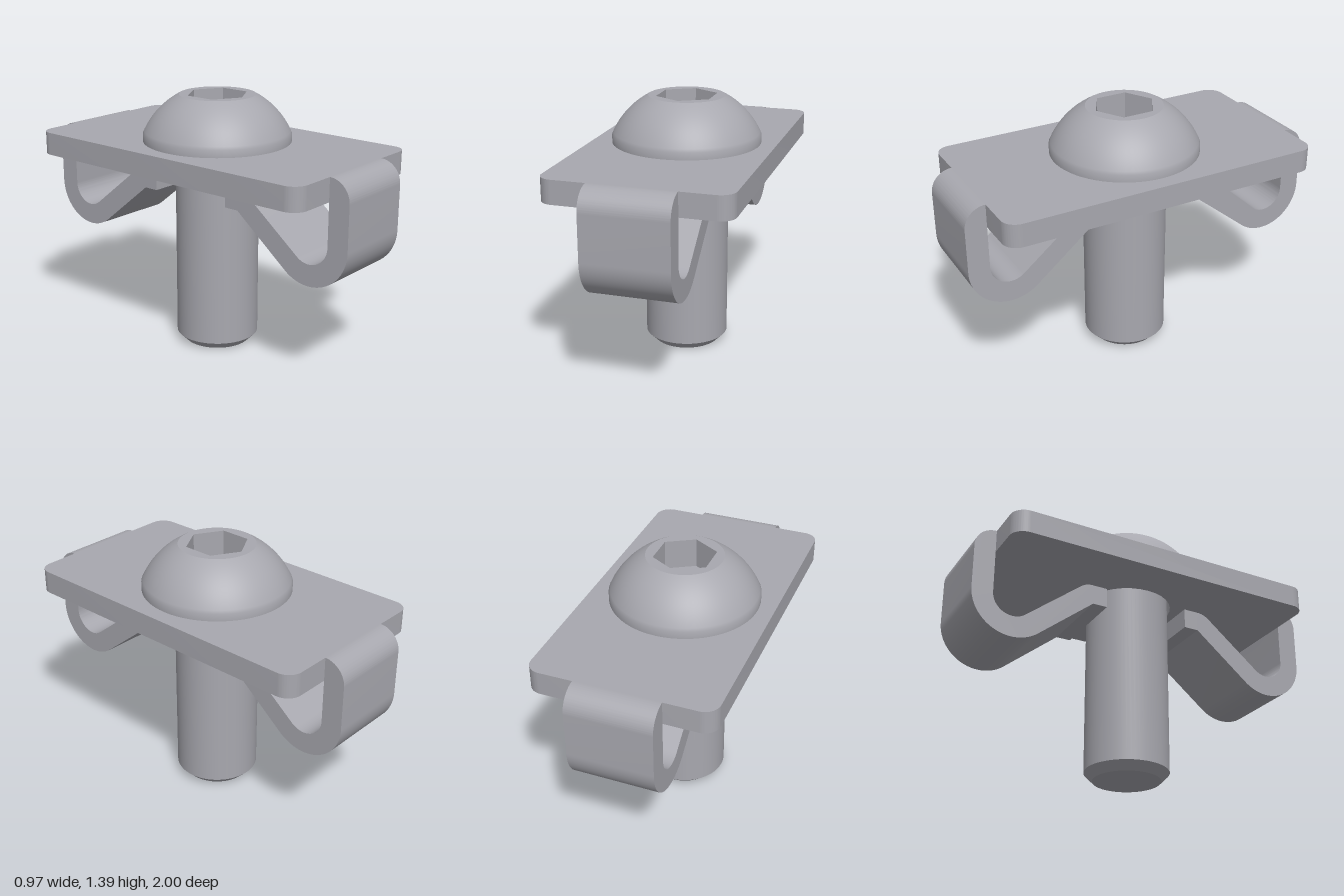
import * as THREE from 'three';
import { toCreasedNormals } from 'three/addons/utils/BufferGeometryUtils.js';

const steel = new THREE.MeshStandardMaterial({ color: 0xa8a8af, side: THREE.DoubleSide });
steel.name = 'steel grey';

function part(name, geometry, parent) {
  const mesh = new THREE.Mesh(geometry, steel);
  mesh.name = name;
  parent.add(mesh);
  return mesh;
}

const crease = (g) => toCreasedNormals(g, Math.PI / 6);
const v = (x, y) => new THREE.Vector2(x, y);

// Rounded rectangle with a clearance hole, lying flat
function plateGeometry(hx, hz, r, bottom, top) {
  const s = new THREE.Shape();
  s.absarc(hx - r, hz - r, r, 0, Math.PI / 2);
  s.absarc(-hx + r, hz - r, r, Math.PI / 2, Math.PI);
  s.absarc(-hx + r, -hz + r, r, Math.PI, Math.PI * 1.5);
  s.absarc(hx - r, -hz + r, r, Math.PI * 1.5, Math.PI * 2);
  s.closePath();
  s.holes.push(new THREE.Path().absarc(0, 0, 0.245, 0, Math.PI * 2, true));
  const g = new THREE.ExtrudeGeometry(s, { depth: top - bottom, bevelEnabled: false, curveSegments: 16 });
  g.rotateX(-Math.PI / 2).translate(0, bottom, 0);
  return crease(g);
}

// Bent strip: profile drawn in (z, y), extruded across x
function clipGeometry(halfWidth) {
  const cz = 0.775, cy = 0.79, outer = 0.225, inner = 0.11;
  const end = -Math.PI + THREE.MathUtils.degToRad(51); // where the hook leaves the round bend
  const s = new THREE.Shape();
  s.moveTo(0.885, 1.145);
  s.absarc(0.885, 1.03, 0.115, Math.PI / 2, 0, true);
  s.absarc(cz, cy, outer, 0, end, true);
  s.lineTo(0.325, 0.865);
  s.lineTo(0.243, 0.865);
  s.lineTo(0.243, 0.975);
  s.absarc(0.329, 0.865, 0.11, Math.PI / 2, end + Math.PI, true);
  s.absarc(cz, cy, inner, end, 0, false);
  s.closePath();
  const g = new THREE.ExtrudeGeometry(s, { depth: halfWidth * 2, bevelEnabled: false, curveSegments: 24 });
  g.rotateY(-Math.PI / 2).translate(halfWidth, 0, 0);
  return crease(g);
}

export function createModel() {
  const model = new THREE.Group();
  model.name = 'screwWithSpringClip';

  part('plate', plateGeometry(0.485, 0.885, 0.08, 1.02, 1.145), model);

  // Spring hooks at both ends
  for (const [name, turn] of [['frontClip', 0], ['backClip', Math.PI]]) {
    part(name, clipGeometry(0.227), model).rotation.y = turn;
  }

  const screw = new THREE.Group();
  screw.name = 'screw';
  model.add(screw);

  // Shank with chamfered tip
  const shank = [v(0, 0), v(0.182, 0), v(0.227, 0.045), v(0.227, 1.15)];
  part('shank', crease(new THREE.LatheGeometry(shank, 64)), screw);

  // Domed head, open on top for the socket
  const top = 1.395, centre = 1.009, radius = 0.437, rim = 0.205;
  const dome = [v(0.2, 1.145), v(0.4, 1.145)];
  const a0 = Math.acos(0.4 / radius), a1 = Math.acos(rim / radius);
  for (let i = 0; i <= 16; i++) {
    const a = a0 + (a1 - a0) * i / 16;
    dome.push(v(radius * Math.cos(a), centre + radius * Math.sin(a)));
  }
  dome[dome.length - 1].y = top;
  part('head', crease(new THREE.LatheGeometry(dome, 64)), screw);

  // Flat crown with hexagonal socket
  const depth = 0.16;
  const hex = [];
  for (let i = 0; i < 6; i++) {
    const a = Math.PI / 2 - i * Math.PI / 3;
    hex.push(v(0.167 * Math.cos(a), 0.167 * Math.sin(a)));
  }
  const crown = new THREE.Shape().absarc(0, 0, rim, 0, Math.PI * 2);
  crown.holes.push(new THREE.Path(hex).closePath());
  const socket = new THREE.ExtrudeGeometry(crown, { depth, bevelEnabled: false, curveSegments: 32 });
  socket.rotateX(-Math.PI / 2).translate(0, top - depth, 0);
  part('crownSocket', socket, screw);

  const floor = new THREE.ShapeGeometry(new THREE.Shape(hex));
  floor.rotateX(-Math.PI / 2).translate(0, top - depth, 0);
  part('socketFloor', floor, screw);

  return model;
}
